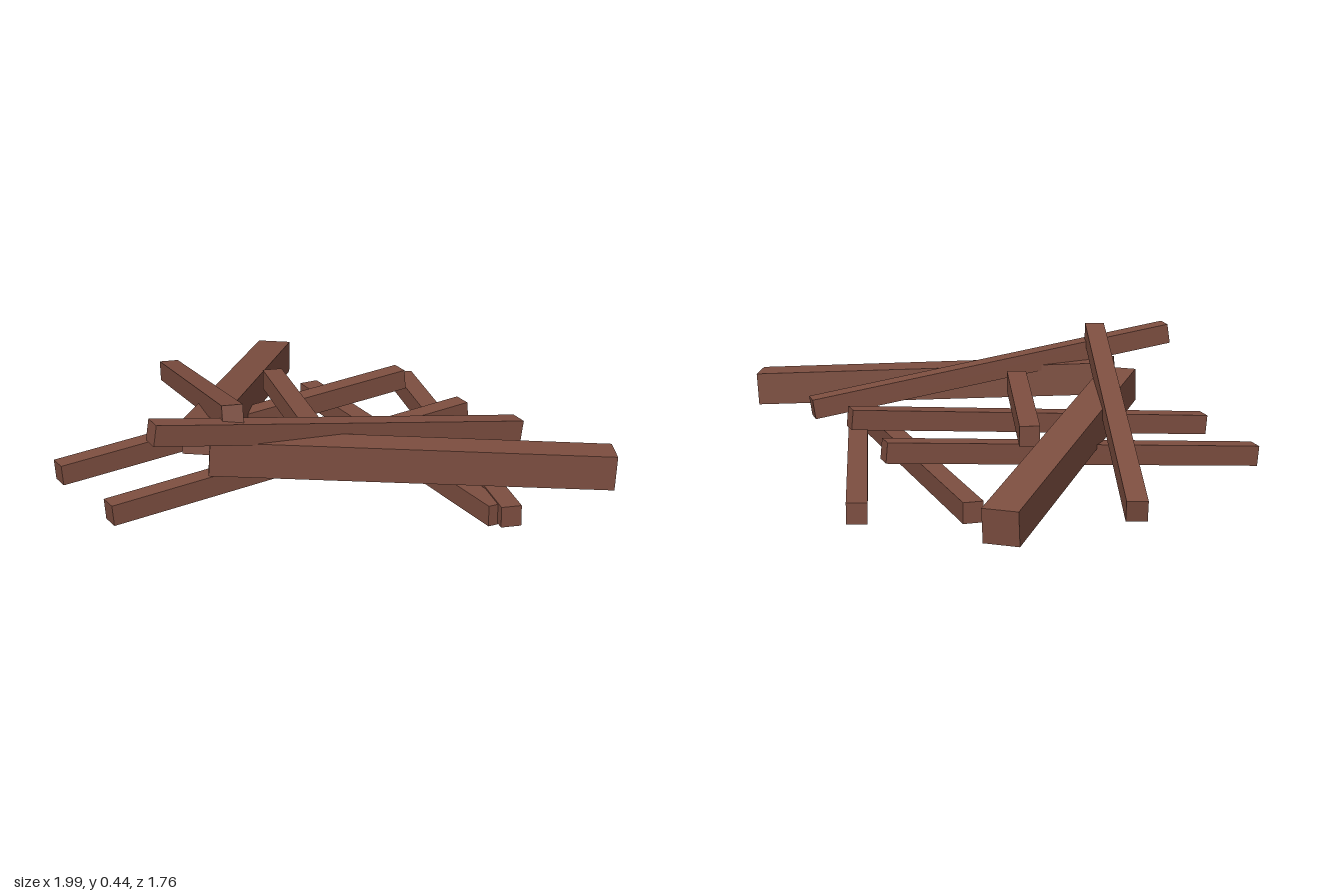
import * as THREE from 'three';

const wood = new THREE.MeshStandardMaterial({ color: 0x7d4e40 });
wood.name = 'reddish brown wood';

// Square beam whose axis runs from a to b; its top stays level across the width
function beam(name, a, b, width, height) {
  const start = new THREE.Vector3(...a);
  const end = new THREE.Vector3(...b);
  const axis = end.clone().sub(start);
  const length = axis.length();
  axis.normalize();
  const side = new THREE.Vector3(0, 1, 0).cross(axis).normalize();
  const up = axis.clone().cross(side);
  const mesh = new THREE.Mesh(new THREE.BoxGeometry(width, height, length), wood);
  mesh.quaternion.setFromRotationMatrix(new THREE.Matrix4().makeBasis(side, up, axis));
  mesh.position.copy(start).add(end).multiplyScalar(0.5);
  mesh.name = name;
  return mesh;
}

export function createModel() {
  const group = new THREE.Group();
  group.name = 'beamPile';

  // Two heavy timbers meeting at the front left corner
  const heavy = [
    ['heavyBeamBack', [-0.516, 0.085, -0.87], [-0.42, 0.258, 0.505]],
    ['heavyBeamFront', [-0.352, 0.257, 0.63], [0.977, 0.17, 0.25]],
  ];
  for (const [name, a, b] of heavy) group.add(beam(name, a, b, 0.126, 0.122));

  // Thin planks, from the ground layer upward
  const thin = [
    ['groundPlankInner', [-0.31, 0.041, -0.615], [0.61, 0.041, 0.445]],
    ['groundPlankOuter', [0.032, 0.046, -0.8], [0.66, 0.046, 0.465]],
    ['leaningPlankBack', [-0.967, 0.056, 0.447], [0.087, 0.178, -0.478]],
    ['leaningPlankMiddle', [-0.668, 0.067, 0.773], [0.385, 0.19, -0.15]],
    ['shortPlank', [-0.358, 0.219, -0.238], [-0.05, 0.258, 0.385]],
    ['topPlankFront', [-0.486, 0.397, 0.842], [0.604, 0.18, -0.028]],
    ['topPlankLeft', [-0.87, 0.1, -0.57], [-0.257, 0.41, 0.665]],
  ];
  for (const [name, a, b] of thin) group.add(beam(name, a, b, 0.072, 0.074));

  return group;
}
